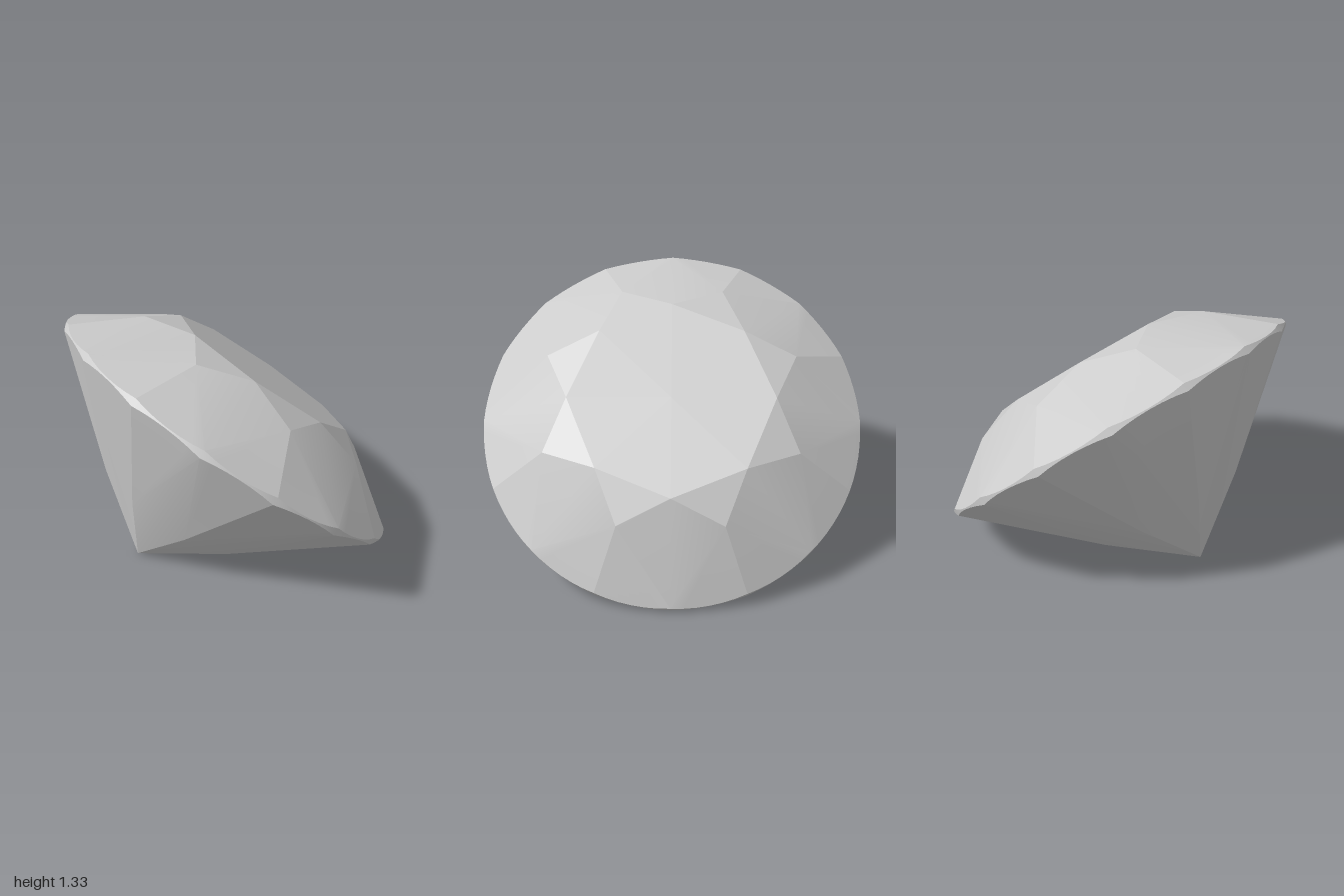
import * as THREE from 'three';
import { toCreasedNormals } from 'three/addons/utils/BufferGeometryUtils.js';

const STEP = Math.PI / 8;   // sixteen girdle nodes
const ARC = 6;              // arc segments between two nodes
const CREASE = 0.2;         // facets closer than this angle blend together

// Radius and height of each ring of facet corners, girdle radius = 1
const TABLE = [0.53, 0.337], STAR = [0.70, 0.258], CULET = [0, -0.8745];
const LOWER = [0.42, -0.544], HALF_GIRDLE = 0.02;

const at = ([r, h], angle) =>
  new THREE.Vector3(r * Math.cos(angle), h, r * Math.sin(angle));

// Collects triangles, each turned to face away from the gem's centre
function facets() {
  const points = [];
  return {
    tri(a, b, c) {
      const n = b.clone().sub(a).cross(c.clone().sub(a));
      points.push(...(n.dot(a) < 0 ? [a, c, b] : [a, b, c]));
    },
    mesh(name, material) {
      const geometry = new THREE.BufferGeometry().setFromPoints(points);
      const mesh = new THREE.Mesh(toCreasedNormals(geometry, CREASE), material);
      mesh.name = name;
      return mesh;
    },
  };
}

// Curve where a flat girdle facet, hinged at a corner ring, cuts the round girdle
function girdleArc([r, h], girdleH, start) {
  const c = Math.cos(STEP / 2);
  const slope = (h - girdleH) / (c * (1 - r));
  return Array.from({ length: ARC + 1 }, (_, i) => {
    const t = STEP * i / ARC;
    return at([1, girdleH - slope * (Math.cos(t - STEP / 2) - c)], start + t);
  });
}

export function createModel() {
  const material = new THREE.MeshStandardMaterial({ color: 0xcccccc });
  const table = facets(), crown = facets(), girdle = facets(), pavilion = facets();
  const tableCentre = at([0, TABLE[1]], 0), culet = at(CULET, 0);

  for (let k = 0; k < 8; k++) {
    const main = 2 * k * STEP, next = main + 2 * STEP, between = main + STEP;
    const star = at(STAR, between), lower = at(LOWER, between);

    // Octagonal table and the star facet beside it
    table.tri(tableCentre, at(TABLE, main), at(TABLE, next));
    crown.tri(at(TABLE, main), star, at(TABLE, next));

    // Each side of the ridge: half kite, girdle facets, girdle strip, half main facet
    for (const [axis, start] of [[main, main], [next, between]]) {
      crown.tri(at(TABLE, axis), star, at([1, HALF_GIRDLE], axis));
      pavilion.tri(culet, lower, at([1, -HALF_GIRDLE], axis));
      const top = girdleArc(STAR, HALF_GIRDLE, start);
      const bottom = girdleArc(LOWER, -HALF_GIRDLE, start);
      for (let i = 0; i < ARC; i++) {
        crown.tri(star, top[i], top[i + 1]);
        pavilion.tri(lower, bottom[i], bottom[i + 1]);
        girdle.tri(top[i], top[i + 1], bottom[i]);
        girdle.tri(top[i + 1], bottom[i + 1], bottom[i]);
      }
    }
  }

  // The gem rests on one main facet of its pavilion
  const gem = new THREE.Group();
  gem.name = 'gem';
  gem.add(
    table.mesh('table', material),
    crown.mesh('crown', material),
    girdle.mesh('girdle', material),
    pavilion.mesh('pavilion', material),
  );
  gem.rotation.z = -THREE.MathUtils.degToRad(40.5);
  gem.position.y = 0.665;

  const model = new THREE.Group();
  model.name = 'cutGem';
  model.add(gem);
  return model;
}
